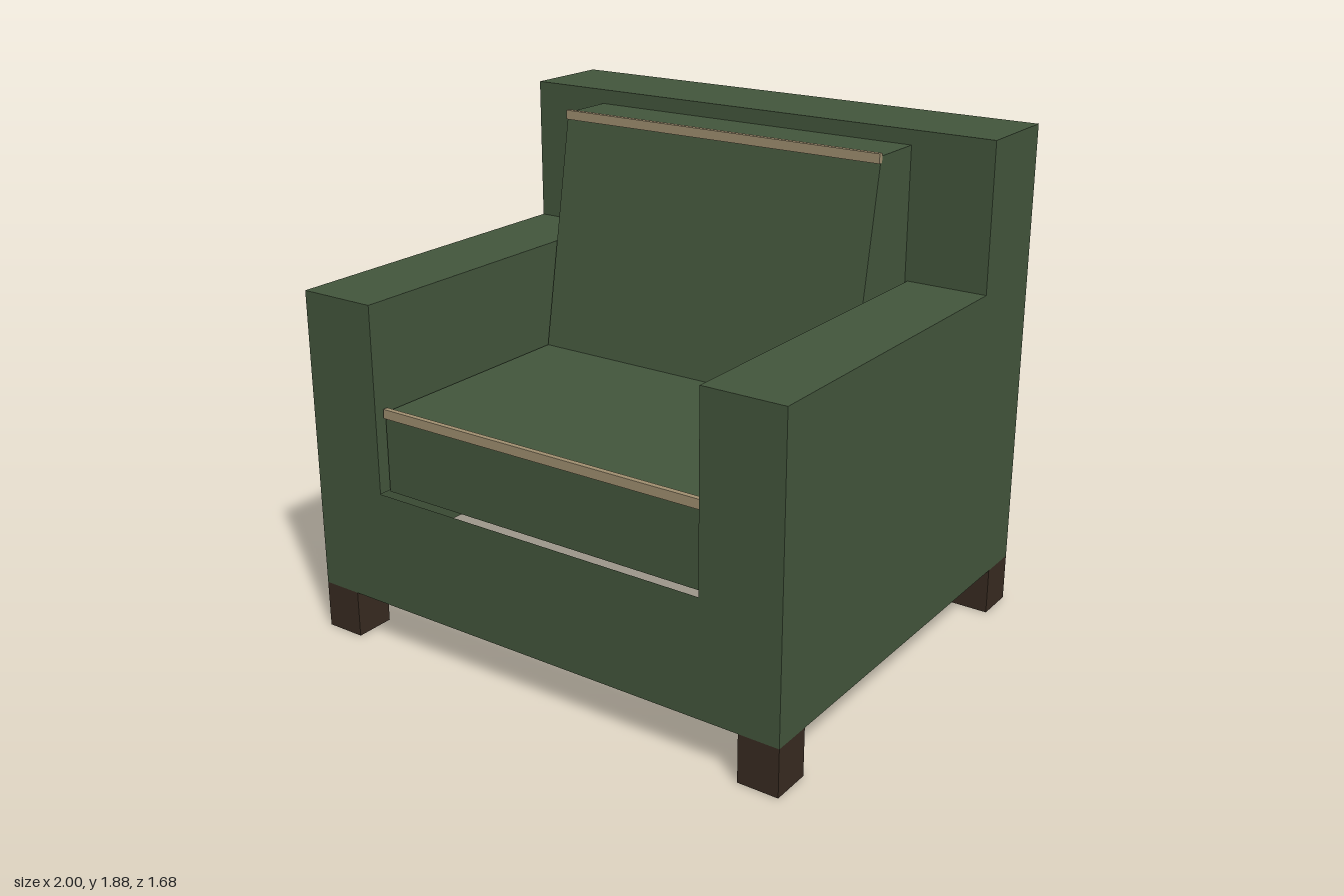
import * as THREE from 'three';

// Main dimensions
const W = 1, D = 0.84, BASE = 0.18, SEAT_LOW = 0.62, SEAT_TOP = 0.925;
const ARM_TOP = 1.33, ARM_IN = 0.69, BACK_TOP = 1.88, BACK_Z = -0.49;
const CUSHION_X = 0.68, CUSHION_Z = 0.8;

function material(name, color) {
  const m = new THREE.MeshStandardMaterial({ color, side: THREE.DoubleSide });
  m.name = name;
  return m;
}

// Flat panel from a 2D outline: axis z uses (x, y), axis x uses (z, y), axis y uses (x, z)
function panel(name, axis, sign, offset, outline, mat) {
  const shape = new THREE.Shape(outline.map(([u, v]) => new THREE.Vector2(u, v)));
  const geo = new THREE.ShapeGeometry(shape);
  const pos = geo.attributes.position;
  for (let i = 0; i < pos.count; i++) {
    const u = pos.getX(i), v = pos.getY(i);
    if (axis === 'z') pos.setXYZ(i, u, v, offset);
    else if (axis === 'x') pos.setXYZ(i, offset, v, u);
    else pos.setXYZ(i, u, offset, v);
  }
  const flip = axis === 'z' ? sign < 0 : sign > 0;
  if (flip) geo.setIndex(Array.from(geo.index.array).reverse());
  geo.computeVertexNormals();
  const mesh = new THREE.Mesh(geo, mat);
  mesh.name = name;
  return mesh;
}

const rect = (u0, u1, v0, v1) => [[u0, v0], [u1, v0], [u1, v1], [u0, v1]];

function box(name, x0, x1, y0, y1, z0, z1, mat) {
  const mesh = new THREE.Mesh(new THREE.BoxGeometry(x1 - x0, y1 - y0, z1 - z0), mat);
  mesh.position.set((x0 + x1) / 2, (y0 + y1) / 2, (z0 + z1) / 2);
  mesh.name = name;
  return mesh;
}

export function createModel() {
  const fabric = material('green fabric', 0x43563c);
  const trim = material('tan piping', 0xa08f70);
  const wood = material('dark wood', 0x382b21);
  const model = new THREE.Group();
  model.name = 'armchair';

  // Hollow upholstered frame, open underneath
  const frame = new THREE.Group();
  frame.name = 'frame';
  frame.add(
    panel('frontPanel', 'z', 1, D, [
      [-W, BASE], [W, BASE], [W, ARM_TOP], [ARM_IN, ARM_TOP], [ARM_IN, SEAT_LOW],
      [-ARM_IN, SEAT_LOW], [-ARM_IN, ARM_TOP], [-W, ARM_TOP]], fabric),
    panel('backPanel', 'z', -1, -D, rect(-W, W, BASE, BACK_TOP), fabric),
    panel('backrestTop', 'y', 1, BACK_TOP, rect(-W, W, -D, BACK_Z), fabric),
    panel('backrestFront', 'z', 1, BACK_Z, [
      [-ARM_IN, SEAT_LOW], [ARM_IN, SEAT_LOW], [ARM_IN, ARM_TOP], [W, ARM_TOP],
      [W, BACK_TOP], [-W, BACK_TOP], [-W, ARM_TOP], [-ARM_IN, ARM_TOP]], fabric),
  );
  for (const s of [1, -1]) {
    const side = s > 0 ? 'left' : 'right';
    const [x0, x1] = s > 0 ? [ARM_IN, W] : [-W, -ARM_IN];
    frame.add(
      panel(side + 'OuterSide', 'x', s, s * W, [
        [-D, BASE], [D, BASE], [D, ARM_TOP], [BACK_Z, ARM_TOP],
        [BACK_Z, BACK_TOP], [-D, BACK_TOP]], fabric),
      panel(side + 'ArmInside', 'x', -s, s * ARM_IN, rect(BACK_Z, D, SEAT_LOW, ARM_TOP), fabric),
      panel(side + 'ArmTop', 'y', 1, ARM_TOP, rect(x0, x1, BACK_Z, D), fabric),
    );
  }
  model.add(frame);

  // Seat cushion, open underneath
  const seat = new THREE.Group();
  seat.name = 'seatCushion';
  seat.add(
    panel('seatTop', 'y', 1, SEAT_TOP, rect(-CUSHION_X, CUSHION_X, BACK_Z, CUSHION_Z), fabric),
    panel('seatFront', 'z', 1, CUSHION_Z, rect(-CUSHION_X, CUSHION_X, SEAT_LOW, SEAT_TOP), fabric),
  );
  for (const s of [1, -1]) {
    seat.add(panel(s > 0 ? 'seatLeftSide' : 'seatRightSide', 'x', s, s * CUSHION_X,
      rect(BACK_Z, CUSHION_Z, SEAT_LOW, SEAT_TOP), fabric));
  }
  model.add(seat);

  // Wedge-shaped back cushion: profile in (-z, y), extruded across the seat
  const wedge = new THREE.Shape([
    [-BACK_Z, SEAT_TOP], [-BACK_Z, 1.825], [0.27, 1.825], [0.11, SEAT_TOP],
  ].map(([u, v]) => new THREE.Vector2(u, v)));
  const wedgeGeo = new THREE.ExtrudeGeometry(wedge, { depth: 2 * CUSHION_X, bevelEnabled: false });
  wedgeGeo.translate(0, 0, -CUSHION_X).rotateY(Math.PI / 2);
  const backCushion = new THREE.Mesh(wedgeGeo, fabric);
  backCushion.name = 'backCushion';
  model.add(backCushion);

  // Piping along the front edges of both cushions
  model.add(
    box('seatPiping', -CUSHION_X, CUSHION_X, 0.905, 0.94, 0.79, 0.81, trim),
    box('backPiping', -CUSHION_X, CUSHION_X, 1.8, 1.835, -0.277, -0.258, trim),
  );

  // Four block legs flush with the corners
  const leg = 0.155;
  for (const sx of [1, -1]) {
    for (const sz of [1, -1]) {
      const cx = sx * (W - leg / 2), cz = sz * (D - leg / 2);
      model.add(box((sz > 0 ? 'front' : 'back') + (sx > 0 ? 'Left' : 'Right') + 'Leg',
        cx - leg / 2, cx + leg / 2, 0, BASE, cz - leg / 2, cz + leg / 2, wood));
    }
  }
  return model;
}
